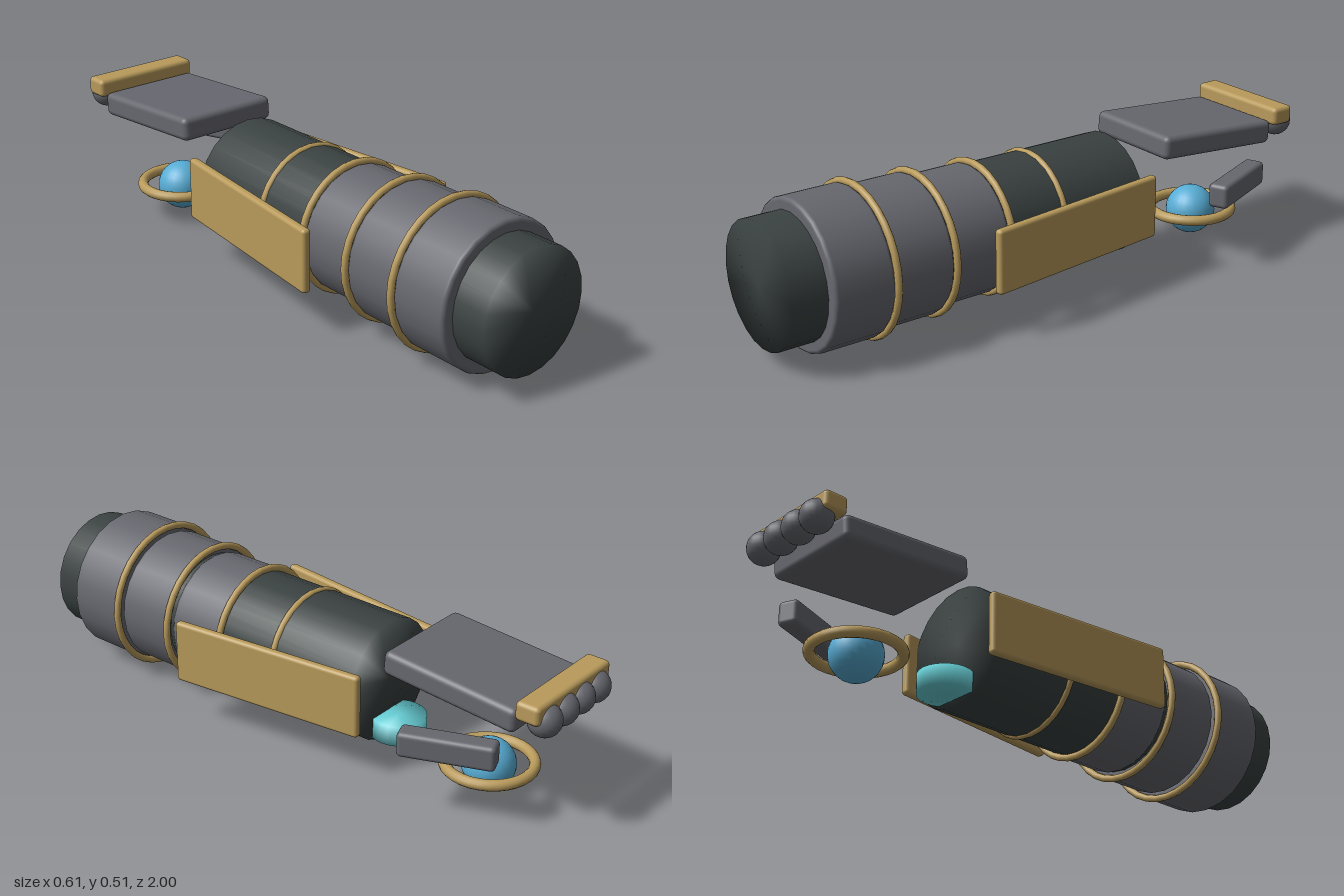
import * as THREE from 'three';
import { mergeVertices } from 'three/addons/utils/BufferGeometryUtils.js';
import { RoundedBoxGeometry } from 'three/addons/geometries/RoundedBoxGeometry.js';

const CX = -0.006; // shared centre line of the arm
const CY = 0.256;

function material(name, color) {
  const m = new THREE.MeshStandardMaterial({ color });
  m.name = name;
  return m;
}

// Cylinder whose caps and wall share normals, for soft shading
function softCylinder(radius, length, sides) {
  const g = new THREE.CylinderGeometry(radius, radius, length, sides);
  g.deleteAttribute('uv');
  g.deleteAttribute('normal');
  const merged = mergeVertices(g);
  merged.computeVertexNormals();
  return merged;
}

// Solid sleeve with rounded rims, turned around its axis
function sleeveGeometry(radius, length, bevel) {
  const h = length / 2;
  const points = [new THREE.Vector2(0, -h)];
  for (const side of [-1, 1]) {
    for (let i = 0; i <= 4; i++) {
      const a = (side * (side < 0 ? 4 - i : i) * Math.PI) / 8;
      points.push(new THREE.Vector2(
        radius - bevel + Math.cos(a) * bevel,
        side * (h - bevel) + Math.sin(a) * bevel));
    }
  }
  points.push(new THREE.Vector2(0, h));
  return new THREE.LatheGeometry(points, 24);
}

export function createModel() {
  const model = new THREE.Group();
  model.name = 'mechanicalArm';
  const dark = material('dark core', 0x3a4241);
  const grey = material('grey armour', 0x67686f);
  const gold = material('gold trim', 0xb89a5b);
  const blue = material('blue orb', 0x57acd4);
  const cyan = material('cyan wrist', 0x66cdd4);

  function add(name, geometry, mat, x, y, z) {
    const mesh = new THREE.Mesh(geometry, mat);
    mesh.name = name;
    mesh.position.set(x, y, z);
    model.add(mesh);
    return mesh;
  }

  // Forearm core
  add('core', softCylinder(0.203, 1.296, 24), dark, CX, CY, 0.352).rotation.x = Math.PI / 2;

  // Stepped armour sleeves: radius, centre z
  [[0.242, 0.78], [0.227, 0.563], [0.211, 0.345]].forEach(([r, z], i) => {
    add('sleeve' + (i + 1), sleeveGeometry(r, 0.205, 0.014), grey, CX, CY, z).rotation.x = Math.PI / 2;
  });

  // Gold bands growing toward the front
  for (let i = 0; i < 4; i++) {
    add('band' + (i + 1), new THREE.TorusGeometry(0.199 + i * 0.0147, 0.012, 10, 32),
      gold, CX, CY, 0.02 + i * 0.217);
  }

  // Side panels flaring outward to the front
  for (const side of [-1, 1]) {
    const panel = add(side < 0 ? 'rightPanel' : 'leftPanel',
      new RoundedBoxGeometry(0.03, 0.212, 0.69, 3, 0.012), gold, CX + side * 0.243, CY + 0.001, 0.005);
    panel.rotation.y = side * 0.118;
  }

  // Wrist joint
  add('wrist', softCylinder(0.09, 0.067, 24), cyan, CX, 0.113, -0.338);

  // Palm plate, dipping toward the knuckles
  add('palm', new RoundedBoxGeometry(0.364, 0.08, 0.475, 3, 0.02), grey, CX, 0.41, -0.642).rotation.x = -0.075;

  // Knuckle guard and four knuckles
  add('knuckleGuard', new RoundedBoxGeometry(0.387, 0.062, 0.082, 3, 0.015), gold, CX, 0.444, -0.923);
  for (let i = 0; i < 4; i++) {
    add('knuckle' + (i + 1), new THREE.SphereGeometry(0.053, 20, 14), grey,
      CX + (i - 1.5) * 0.0865, 0.411, -0.947);
  }

  // Thumb
  add('thumb', new RoundedBoxGeometry(0.07, 0.082, 0.298, 3, 0.015), grey, 0.219, 0.26, -0.685).rotation.y = 0.38;

  // Floating orb with its ring
  add('orb', new THREE.SphereGeometry(0.085, 24, 16), blue, CX, 0.101, -0.685);
  add('orbRing', new THREE.TorusGeometry(0.14, 0.018, 12, 32), gold, CX, 0.109, -0.685).rotation.x = Math.PI / 2;

  return model;
}
